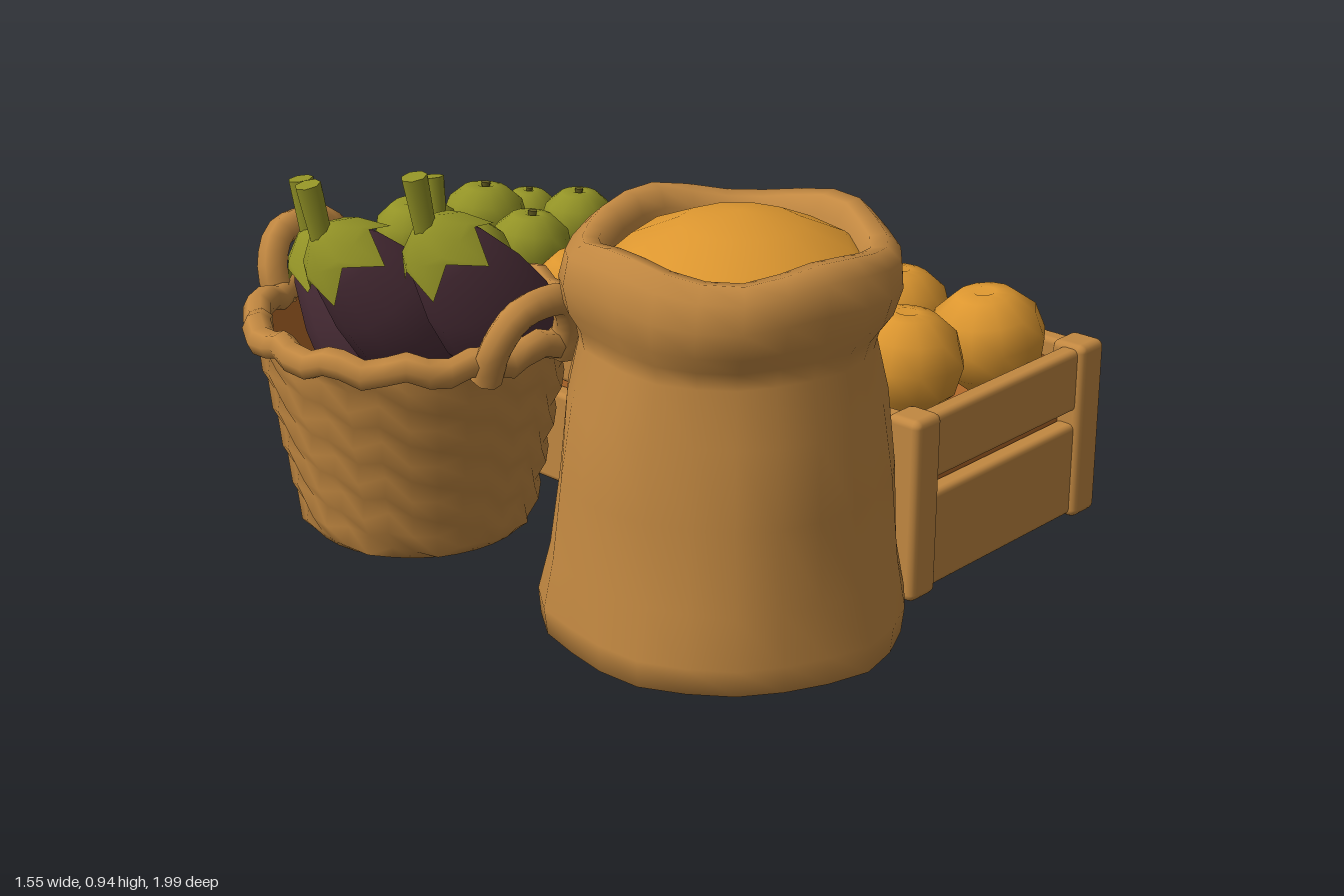
import * as THREE from 'three';
import { mergeVertices } from 'three/addons/utils/BufferGeometryUtils.js';
import { RoundedBoxGeometry } from 'three/addons/geometries/RoundedBoxGeometry.js';

const paint = (name, color, side = THREE.FrontSide) => {
  const m = new THREE.MeshStandardMaterial({ color, side });
  m.name = name;
  return m;
};

export function createModel() {
  const root = new THREE.Group();
  root.name = 'marketProduce';
  const wood = paint('wood and burlap', 0xc28841);
  const inner = paint('inner brown', 0xb46a2a);
  const orange = paint('orange', 0xdc962f);
  const olive = paint('olive green', 0x939326, THREE.DoubleSide);
  const purple = paint('aubergine', 0x4a2d37);
  const leafGreen = paint('leaf green', 0x3c7a22, THREE.DoubleSide);
  const stemBrown = paint('stem', 0x665f22);

  const add = (parent, name, geo, mat, x = 0, y = 0, z = 0) => {
    const m = new THREE.Mesh(geo, mat);
    m.name = name;
    m.position.set(x, y, z);
    parent.add(m);
    return m;
  };
  const group = (name, x, z, turn = 0) => {
    const g = new THREE.Group();
    g.name = name;
    g.position.set(x, 0, z);
    g.rotation.y = turn;
    root.add(g);
    return g;
  };

  // Move every vertex by a rule, then weld and smooth
  const warp = (geo, rule) => {
    geo.deleteAttribute('uv');
    geo.deleteAttribute('normal');
    geo = mergeVertices(geo, 1e-4);
    const p = geo.attributes.position, v = new THREE.Vector3();
    for (let i = 0; i < p.count; i++) {
      rule(v.fromBufferAttribute(p, i));
      p.setXYZ(i, v.x, v.y, v.z);
    }
    geo.computeVertexNormals();
    return geo;
  };
  const lathe = (pts, sides, rule = () => {}) =>
    warp(new THREE.LatheGeometry(pts.map(([r, y]) => new THREE.Vector2(r, y)), sides), rule);
  const lump = (amount, freq, seed = 0) => v => {
    const n = Math.sin(v.x * freq + seed) + Math.sin(v.z * freq * 1.2 + seed * 2) + Math.sin(v.y * freq * 0.8 + v.x * freq * 0.5 + seed);
    v.x *= 1 + n * amount;
    v.z *= 1 + n * amount;
  };

  // Sack of grain with a rolled collar
  const sack = group('sack', -0.282, 0.588);
  const burlap = [[0, 0.01], [0.34, 0.01], [0.385, 0.03], [0.39, 0.09], [0.368, 0.2], [0.355, 0.38], [0.338, 0.55],
    [0.312, 0.67], [0.32, 0.71], [0.345, 0.75], [0.358, 0.81], [0.348, 0.87], [0.315, 0.9], [0.28, 0.895], [0.26, 0.86], [0.25, 0.8]];
  add(sack, 'sackCloth', lathe(burlap, 24, v => {
    const a = Math.atan2(v.z, v.x), high = Math.max(0, v.y - 0.6);
    const k = 1 + 0.015 * Math.sin(5 * a + v.y * 9) + 0.01 * Math.sin(9 * a);
    v.x = v.x * k + high * 0.07;
    v.z *= k * (1 + 0.08 * Math.max(0, 0.4 - v.y));
    v.y += high * 0.05 * Math.sin(4 * a + 1);
  }), wood);
  add(sack, 'grain', lathe([[0.275, 0.83], [0.23, 0.872], [0.13, 0.915], [0, 0.94]], 12, lump(0.01, 12)), orange, 0.03, 0, 0.005);

  // Woven basket
  const basket = group('basket', -0.37, -0.285);
  const rows = 10, wall = [[0, 0.02], [0.25, 0.02]];
  for (let i = 0; i <= rows; i++) wall.push([0.265 + 0.095 * i / rows, 0.04 + 0.47 * i / rows]);
  add(basket, 'basketWeave', lathe(wall, 32, v => {
    const r = Math.hypot(v.x, v.z);
    if (r < 0.26) return;
    const row = Math.round((v.y - 0.04) / 0.047), col = Math.round(Math.atan2(v.z, v.x) / (Math.PI / 16));
    const k = 1 + 0.028 * (((row + (col >> 1)) & 1) ? 1 : -0.6) / (r * 2.7);
    v.x *= k;
    v.z *= k;
    v.y += 0.01 * Math.sin(col * 2.1);
  }), wood);
  add(basket, 'basketLining', lathe([[0.345, 0.53], [0.31, 0.34], [0.27, 0.16], [0, 0.15]], 24), inner);
  add(basket, 'basketRim', warp(new THREE.TorusGeometry(0.358, 0.034, 7, 48).rotateX(Math.PI / 2), v => {
    const a = Math.atan2(v.z, v.x);
    v.y += 0.012 * Math.sin(14 * a);
    v.multiplyScalar(1 + 0.02 * Math.cos(14 * a));
  }), wood, 0, 0.515, 0);
  for (const s of [-1, 1]) {
    const path = [[-0.115, 0.48, 0.345], [-0.115, 0.56, 0.375], [-0.07, 0.63, 0.4], [0, 0.645, 0.405],
      [0.07, 0.63, 0.4], [0.115, 0.56, 0.375], [0.115, 0.48, 0.345]].map(([x, y, z]) => new THREE.Vector3(x, y, z * s));
    add(basket, 'basketHandle', new THREE.TubeGeometry(new THREE.CatmullRomCurve3(path), 16, 0.036, 7), wood, 0.01);
  }

  // Aubergines: neck, the foot they lean from, and a nearly upright stem
  const up = new THREE.Vector3(0, 1, 0);
  const body = lathe([[0, 0], [0.075, 0.015], [0.125, 0.08], [0.138, 0.16], [0.126, 0.26], [0.095, 0.37], [0.06, 0.43], [0, 0.46]], 12);
  const calyx = lathe([[0.125, 0.365], [0.085, 0.425], [0.035, 0.465], [0, 0.48]], 10, v => {
    if (v.y > 0.4) return;
    const point = Math.round(Math.atan2(v.z, v.x) / (Math.PI / 5) + 10.5) & 1;
    v.y += point ? -0.015 : 0.045;
    v.x *= point ? 1 : 0.76;
    v.z *= point ? 1 : 0.76;
  });
  const stem = new THREE.CylinderGeometry(0.03, 0.026, 0.13, 7).translate(0, 0.05, 0);
  for (const [neck, foot] of [
    [[-0.475, 0.795, -0.13], [-0.2, 0.4, -0.06]],
    [[-0.55, 0.735, -0.395], [-0.25, 0.34, -0.27]],
    [[-0.165, 0.65, -0.43], [-0.22, 0.22, -0.2]],
    [[-0.425, 0.675, -0.58], [-0.29, 0.22, -0.38]]]) {
    const top = new THREE.Vector3(...neck);
    const dir = top.clone().sub(new THREE.Vector3(...foot)).normalize();
    const g = new THREE.Group();
    g.name = 'aubergine';
    g.quaternion.setFromUnitVectors(up, dir);
    g.position.copy(top).addScaledVector(dir, -0.47);
    root.add(g);
    add(g, 'aubergineBody', body, purple);
    add(g, 'aubergineCap', calyx, olive);
    add(root, 'aubergineStem', stem, olive, ...neck).quaternion.setFromUnitVectors(up, dir.lerp(up, 0.7).normalize());
  }

  // Slatted crates, lined inside, with a raised inner floor
  const crate = (name, x, z, w, d, h, turn) => {
    const g = group(name, x, z, turn), px = w / 2 - 0.045, pz = d / 2 - 0.045;
    for (const sx of [-1, 1]) for (const sz of [-1, 1])
      add(g, 'cratePost', new RoundedBoxGeometry(0.09, h, 0.09, 2, 0.018), wood, sx * px, 0.005 + h / 2, sz * pz);
    const gap = h * 0.56, top = h * 0.635;
    for (const [y0, y1] of [[0.012, gap], [top, h - 0.005]]) {
      const sh = y1 - y0, y = (y0 + y1) / 2;
      for (const s of [-1, 1]) {
        add(g, 'crateSlat', new RoundedBoxGeometry(w - 0.1, sh, 0.05, 2, 0.014), wood, 0, y, s * (pz + 0.005));
        add(g, 'crateSlat', new RoundedBoxGeometry(0.05, sh, d - 0.1, 2, 0.014), wood, s * (px + 0.005), y, 0);
      }
    }
    const lh = h - 0.03 - gap, ly = gap + lh / 2 - 0.02;
    for (const s of [-1, 1]) {
      add(g, 'crateLining', new THREE.BoxGeometry(w - 0.12, lh, 0.008), inner, 0, ly, s * (pz - 0.02));
      add(g, 'crateLining', new THREE.BoxGeometry(0.008, lh, d - 0.12), inner, s * (px - 0.02), ly, 0);
    }
    add(g, 'crateBottom', new THREE.BoxGeometry(w - 0.07, 0.03, d - 0.07), wood, 0, 0.025, 0);
    add(g, 'crateFloor', new THREE.BoxGeometry(w - 0.13, 0.02, d - 0.13), inner, 0, gap - 0.005, 0);
  };
  crate('frontCrate', 0.417, 0.515, 0.71, 0.63, 0.43, 0.012);
  crate('middleCrate', 0.31, -0.138, 0.675, 0.605, 0.44, -0.015);
  crate('backCrate', 0.322, -0.73, 0.7, 0.53, 0.4, -0.012);

  // Round fruit: [x, y, z, radius, height factor]
  const profile = [[0, -0.8], [0.45, -0.85], [0.88, -0.45], [1, 0.05], [0.87, 0.52], [0.5, 0.84], [0.2, 0.88], [0, 0.76]];
  const fruit = (name, mat, list, stalk) => list.forEach(([x, y, z, r, k = 1], i) => {
    const m = add(root, name, lathe(profile, 12, lump(0.018, 3, i * 1.7)), mat, x, y, z);
    m.scale.set(r, r * k, r);
    m.rotation.set(0.12 * Math.sin(i * 2), i, 0.12 * Math.cos(i * 3));
    if (stalk) add(m, 'fruitStem', new THREE.CylinderGeometry(0.12, 0.08, 0.22, 5), stemBrown, 0, 0.84, 0);
  });
  fruit('orangeFruit', orange, [
    [0.28, 0.46, 0.37, 0.13], [0.55, 0.44, 0.385, 0.132],
    [0.275, 0.465, 0.625, 0.134], [0.57, 0.442, 0.64, 0.136]]);
  fruit('softFruit', orange, [
    [0.155, 0.43, -0.265, 0.125], [0.34, 0.43, -0.25, 0.135], [0.14, 0.43, -0.02, 0.12], [0.355, 0.425, -0.02, 0.13],
    [0.515, 0.41, -0.18, 0.105], [0.24, 0.42, -0.14, 0.125], [0.49, 0.4, -0.07, 0.11]]);
  fruit('greenFruitBelow', olive, [
    [0.48, 0.34, -0.32, 0.1], [0.51, 0.33, 0.04, 0.1], [0.24, 0.33, 0.05, 0.09]]);
  fruit('apple', olive, [
    [0.155, 0.438, -0.855, 0.114], [0.375, 0.436, -0.835, 0.11], [0.54, 0.41, -0.84, 0.08],
    [0.125, 0.436, -0.635, 0.114], [0.335, 0.42, -0.625, 0.106], [0.525, 0.44, -0.64, 0.097]], true);
  fruit('appleBelow', olive, [[0.25, 0.34, -0.74, 0.13, 0.8], [0.45, 0.34, -0.74, 0.13, 0.8]]);

  // Leaf on an orange
  add(root, 'leaf', warp(new THREE.PlaneGeometry(1, 1, 6, 2), v => {
    const t = v.x + 0.5, w = v.y * (0.02 + 0.13 * Math.sin(Math.PI * Math.min(1, t * 0.97)));
    v.set(0.24 + 0.16 * t, 0.575 + 0.075 * t - w * 0.6, 0.345 - 0.06 * t + w);
  }), leafGreen);
  return root;
}
